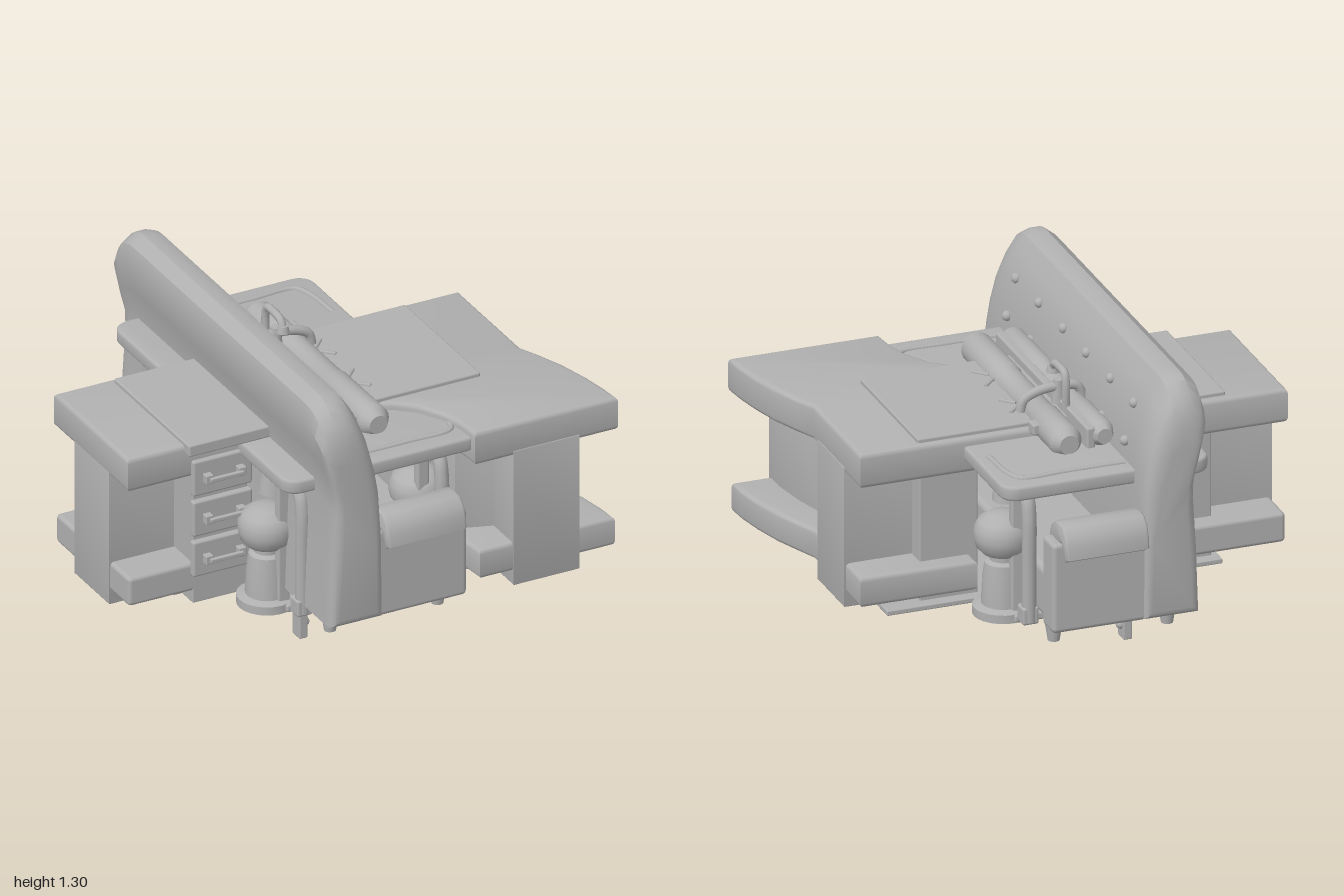
import * as THREE from 'three';
import { toCreasedNormals } from 'three/addons/utils/BufferGeometryUtils.js';
import { RoundedBoxGeometry } from 'three/addons/geometries/RoundedBoxGeometry.js';

export function createModel() {
  const model = new THREE.Group();
  const grey = new THREE.MeshStandardMaterial({ color: 0xb0b0b0 });
  grey.name = 'plain grey';

  const add = (name, geometry, x = 0, y = 0, z = 0) => {
    const mesh = new THREE.Mesh(geometry, grey);
    mesh.name = name;
    mesh.position.set(x, y, z);
    model.add(mesh);
    return mesh;
  };
  // box given by its limits, with softened edges
  const box = (name, x0, x1, y0, y1, z0, z1, r = 0.01) =>
    add(name, new RoundedBoxGeometry(x1 - x0, y1 - y0, z1 - z0, 2, r),
      (x0 + x1) / 2, (y0 + y1) / 2, (z0 + z1) / 2);
  const outline = (pts) => new THREE.Shape(pts.map(([a, b]) => new THREE.Vector2(a, b)));
  const extrude = (shape, length, b, steps = 1) => new THREE.ExtrudeGeometry(shape, {
    depth: length - 2 * b, steps, curveSegments: 8,
    bevelEnabled: b > 0, bevelSize: b, bevelThickness: b, bevelOffset: -b, bevelSegments: 3,
  }).translate(0, 0, b);
  const crease = (g, a = 0.6) => toCreasedNormals(g, a);
  // horizontal slab from an x, z outline, with an optional hole
  const slab = (name, pts, y0, y1, b, hole) => {
    const flip = (list) => list.map(([x, z]) => [x, -z]);
    const shape = outline(flip(pts));
    if (hole) shape.holes.push(outline(flip(hole)));
    return add(name, crease(extrude(shape, y1 - y0, b).rotateX(-Math.PI / 2)), 0, y0);
  };
  const rect = (x0, x1, z0, z1) => [[x0, z0], [x1, z0], [x1, z1], [x0, z1]];
  const tube = (name, pts, r) => add(name, new THREE.TubeGeometry(
    new THREE.CatmullRomCurve3(pts.map((p) => new THREE.Vector3(...p)), false, 'centripetal'), 32, r, 10));

  // --- Sofa back: side profile swept along z, with rounded upper corners and slimmer ends
  const backProfile = [
    [-0.39, 0.3], [-0.15, 0.3], [-0.152, 0.66], [-0.158, 0.9], [-0.175, 1.02], [-0.2, 1.13], [-0.235, 1.22],
    [-0.28, 1.29], [-0.32, 1.305], [-0.365, 1.305], [-0.415, 1.265], [-0.433, 1.2], [-0.4, 1.05],
    [-0.375, 0.95], [-0.37, 0.85], [-0.38, 0.6]];
  const back = extrude(outline(backProfile), 1.85, 0.035, 48).translate(0, 0, -0.925);
  const p = back.attributes.position;
  const ease = (z, start) => {
    const t = Math.max(0, (Math.abs(z) - start) / (0.925 - start));
    return 1 - Math.sqrt(Math.max(0, 1 - t * t));
  };
  for (let i = 0; i < p.count; i++) {
    const y = p.getY(i), z = p.getZ(i), h = Math.max(0, (y - 0.6) / 0.7);
    p.setY(i, y - 0.22 * ease(z, 0.75) * h);
    p.setX(i, -0.29 + (p.getX(i) + 0.29) * (1 - 0.3 * ease(z, 0.82) * h));
  }
  add('sofaBack', crease(back));

  // --- Sofa seat, arms, legs and buttons
  box('sofaSeat', -0.2, 0.22, 0.3, 0.52, -0.79, 0.79, 0.03);
  const pad = [[0.77, 0.64], [0.77, 0.7], [0.785, 0.735], [0.82, 0.762], [0.865, 0.77], [0.91, 0.765], [0.945, 0.735],
    [0.962, 0.69], [0.968, 0.64], [0.935, 0.622], [0.915, 0.66], [0.9, 0.69]];
  for (const s of [-1, 1]) {
    box('sofaArm', -0.36, 0.24, 0.295, 0.69, s * 0.84 - 0.062, s * 0.84 + 0.062, 0.02);
    const g = extrude(outline(pad.map(([z, y]) => [s * z, y])), 0.36, 0.012).rotateY(-Math.PI / 2);
    add('armPad', crease(g, 0.9), 0.205);
    for (const x of [-0.31, 0.18]) add('sofaLeg', new THREE.CylinderGeometry(0.04, 0.025, 0.1, 14), x, 0.255, s * 0.755);
  }
  for (const z of [-0.66, -0.4, -0.13, 0.13, 0.4, 0.66])
    for (const [x, y] of [[-0.205, 1.15], [-0.165, 0.99]])
      add('sofaButton', new THREE.SphereGeometry(0.022, 12, 8), x, y, z);

  // --- Wide curved desk: top, split base, hollow core walls and end posts
  const outer = [[0.998, 0.77], [0.99, 0.68], [0.97, 0.56], [0.935, 0.42], [0.89, 0.3], [0.85, 0.21], [0.85, -0.325]];
  const inner = [[0.08, 0.35], [0.17, 0.385], [0.25, 0.455], [0.31, 0.56], [0.335, 0.66], [0.345, 0.77]];
  slab('curvedDeskTop', [...outer, [-0.998, -0.325], [-0.998, 0.315], [0, 0.315], ...inner], 0.795, 0.945, 0.02);
  slab('curvedDeskBase', [[0.985, 0.765], [0.98, 0.68], [0.96, 0.56], [0.925, 0.42], [0.88, 0.3], [0.845, 0.21],
    [0.845, -0.315], [0.34, -0.315], [0.34, 0.5], [0.37, 0.765]], 0.265, 0.395, 0.018);
  box('deskBaseEnd', -0.992, -0.45, 0.265, 0.395, -0.32, 0.31, 0.018);
  slab('deskEndWall', rect(-0.997, -0.46, -0.15, 0.15), 0.203, 0.82, 0.004, rect(-0.96, -0.5, -0.115, 0.115));
  slab('deskEndWall', rect(0.34, 0.852, -0.15, 0.15), 0.203, 0.82, 0.004, rect(0.38, 0.815, -0.115, 0.115));
  slab('curvedWall', [[0.52, 0.772], [0.82, 0.772], [0.82, 0.66], [0.795, 0.5], [0.75, 0.33], [0.68, 0.13],
    [0.37, 0.13], [0.37, 0.55], [0.52, 0.6]], 0.203, 0.82, 0.004,
  [[0.555, 0.735], [0.785, 0.735], [0.783, 0.66], [0.758, 0.5], [0.715, 0.34], [0.655, 0.165],
    [0.405, 0.165], [0.405, 0.525], [0.555, 0.575]]);

  // --- Drawer desk: top, underside plate, pedestals, drawers with handles
  box('drawerDeskTop', -0.74, 0.59, 0.91, 0.963, -0.295, 0.355, 0.008);
  box('undersidePlate', -0.73, 0.72, 0.2, 0.222, -0.29, 0.2, 0.005);
  for (const [x0, x1] of [[-0.71, -0.44], [0.3, 0.57]]) {
    box('drawerPedestal', x0 + 0.01, x1 - 0.01, 0.21, 0.91, -0.24, 0.31, 0.005);
    const cx = (x0 + x1) / 2;
    for (const y of [0.42, 0.605, 0.79]) {
      box('drawerFront', x0, x1, y - 0.08, y + 0.08, 0.3, 0.335, 0.01);
      for (const s of [-1, 1])
        box('handleMount', cx + s * 0.075 - 0.017, cx + s * 0.075 + 0.017, y - 0.02, y + 0.02, 0.33, 0.365, 0.004);
      box('handleBar', cx - 0.075, cx + 0.075, y - 0.009, y + 0.009, 0.36, 0.378, 0.004);
    }
  }
  for (const x of [-0.13, 0.13])
    for (const z of [-0.18, 0.12]) {
      box('undersideHandle', x - 0.07, x + 0.07, 0.19, 0.203, z - 0.01, z + 0.01, 0.003);
      for (const s of [-1, 1]) box('undersideMount', x + s * 0.07 - 0.02, x + s * 0.07 + 0.02, 0.188, 0.205, z - 0.02, z + 0.02, 0.003);
    }

  // --- Counter with rounded corners, thin raised rims and bent frame legs
  const round = (x0, x1, z0, z1, r) => {
    const pts = [];
    [[x1 - r, z1 - r], [x0 + r, z1 - r], [x0 + r, z0 + r], [x1 - r, z0 + r]].forEach(([x, z], k) => {
      for (let i = 0; i <= 5; i++) {
        const a = (k + i / 5) * Math.PI / 2;
        pts.push([x + r * Math.cos(a), z + r * Math.sin(a)]);
      }
    });
    return pts;
  };
  slab('counter', round(-0.495, 0.4, -0.785, 0.74, 0.07), 0.85, 0.912, 0.012);
  tube('counterRim', [[0.345, 0.912, -0.45], [0.33, 0.912, -0.64], [0.3, 0.912, -0.7], [0.1, 0.912, -0.7], [-0.15, 0.912, -0.7]], 0.012);
  tube('counterRim', [[0.33, 0.912, 0.56], [0.3, 0.912, 0.64], [0.1, 0.912, 0.65], [-0.15, 0.912, 0.65]], 0.012);
  for (const s of [-1, 1]) {
    for (const x of [0.25, -0.385]) {
      tube('counterLeg', [[x, 0.26, s * 0.66], [x, 0.5, s * 0.66], [x, 0.72, s * 0.66], [x, 0.79, s * 0.64],
        [x, 0.825, s * 0.58], [x, 0.835, s * 0.45]], 0.03);
      box('legFoot', x - 0.035, x + 0.035, 0.25, 0.325, s * 0.65 - 0.035, s * 0.65 + 0.035);
      box('innerUpright', x - 0.035, x + 0.02, 0.205, 0.86, s * 0.5 - 0.02, s * 0.5 + 0.02);
    }
    box('floorRail', -0.4, 0.27, 0.205, 0.24, s * 0.53 - 0.025, s * 0.53 + 0.025);
  }

  // --- Stools with low rounded seats on stepped pedestals, under tapered brackets
  const stool = [[0.001, 0.203], [0.125, 0.203], [0.125, 0.24], [0.09, 0.25], [0.085, 0.36], [0.075, 0.43], [0.055, 0.44],
    [0.055, 0.46], [0.085, 0.473], [0.11, 0.5], [0.12, 0.54], [0.118, 0.58], [0.1, 0.615], [0.06, 0.64], [0.001, 0.65]];
  for (const x of [-0.42, 0.27])
    for (const z of [-0.42, 0.42]) {
      add('stool', crease(new THREE.LatheGeometry(stool.map(([r, y]) => new THREE.Vector2(r, y)), 24)), x, 0, z);
      add('counterBracket', new THREE.CylinderGeometry(0.035, 0.06, 0.17, 16), x * 0.9, 0.77, z * 0.93);
    }

  // --- Wall brackets with screws, joined by a rail
  box('bracketRail', -0.3, -0.22, 0.205, 0.245, -0.55, 0.55);
  for (const z of [-0.405, 0.41]) {
    box('bracket', -0.283, -0.245, 0, 0.25, z - 0.033, z + 0.033, 0.006);
    for (const y of [0.06, 0.16]) add('screw', new THREE.SphereGeometry(0.02, 12, 8), -0.243, y, z);
  }

  // --- Twin cylinders with domed ends and wider end sleeves, held by a strap
  const roll = (r, len) => new THREE.LatheGeometry([[0.001, -len], [r * 0.6, -len], [r, -len + 0.04], [r, -0.26],
    [r * 0.92, -0.25], [r * 0.92, 0.15], [r, 0.16], [r, len - 0.04], [r * 0.6, len], [0.001, len]]
    .map(([a, b]) => new THREE.Vector2(a, b)), 24).rotateX(Math.PI / 2);
  add('largeCylinder', crease(roll(0.068, 0.538)), 0.03, 0.95, -0.005);
  add('smallCylinder', crease(roll(0.055, 0.535)), -0.125, 0.963, -0.005);
  box('middleBar', -0.092, -0.055, 0.9, 1.0, -0.52, 0.51);
  tube('strap', [[0.105, 0.96, -0.185], [0.09, 1.01, -0.185], [0.03, 1.04, -0.185], [-0.06, 1.05, -0.185],
    [-0.14, 1.04, -0.185], [-0.17, 0.97, -0.185]], 0.02);
  box('strapBuckle', 0.08, 0.12, 0.93, 0.98, -0.37, -0.31);

  // --- Spout, its base and outlet
  tube('spout', [[-0.06, 0.98, -0.27], [-0.06, 1.1, -0.27], [-0.06, 1.135, -0.255], [-0.06, 1.14, -0.21],
    [-0.06, 1.13, -0.14], [-0.06, 1.1, -0.12]], 0.017);
  add('spoutOutlet', new THREE.CylinderGeometry(0.02, 0.027, 0.03, 16), -0.06, 1.1, -0.12);
  add('spoutBase', new THREE.CylinderGeometry(0.022, 0.03, 0.1, 16), -0.06, 1.03, -0.185);

  // --- Small pegs lying on the desk top
  for (const [z, turn] of [[0.12, 0.8], [0.22, -0.8], [-0.08, -0.8], [-0.16, 0.8]]) {
    const peg = add('peg', new THREE.CylinderGeometry(0.008, 0.008, 0.075, 8).rotateZ(Math.PI / 2), 0.12, 0.965, z);
    peg.rotation.y = turn;
  }
  return model;
}
